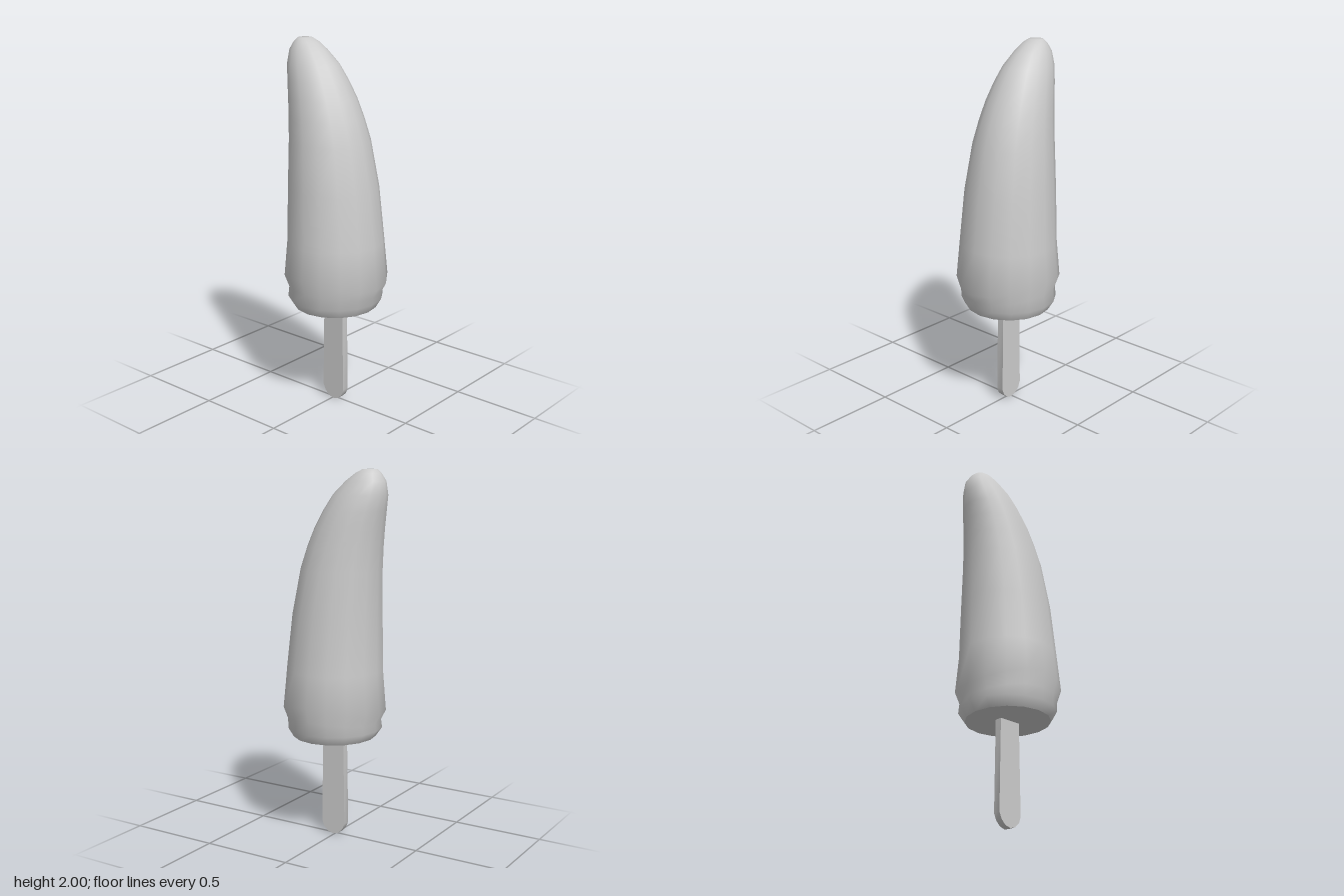
import * as THREE from 'three';
import { toCreasedNormals } from 'three/addons/utils/BufferGeometryUtils.js';

const SIDES = 16;

// Closed loft through elliptical rings: [y, xMin, xMax, zRadius, wave]
function loft(rings) {
  const pos = [], index = [];
  for (const [y, x0, x1, rz, wave = 0] of rings) {
    for (let i = 0; i < SIDES; i++) {
      const a = (i / SIDES) * Math.PI * 2;
      pos.push(
        (x0 + x1) / 2 + ((x1 - x0) / 2) * Math.cos(a),
        y - wave * Math.cos(2 * a),
        rz * Math.sin(a)
      );
    }
  }
  for (let r = 0; r < rings.length - 1; r++) {
    for (let i = 0; i < SIDES; i++) {
      const j = (i + 1) % SIDES;
      const a = r * SIDES + i, b = r * SIDES + j, c = a + SIDES, d = b + SIDES;
      index.push(a, c, b, b, c, d);
    }
  }
  // End caps
  const last = rings.length - 1;
  const bottom = pos.length / 3, top = bottom + 1;
  for (const [y, x0, x1] of [rings[0], rings[last]]) pos.push((x0 + x1) / 2, y, 0);
  for (let i = 0; i < SIDES; i++) {
    const j = (i + 1) % SIDES;
    index.push(bottom, i, j, top, last * SIDES + j, last * SIDES + i);
  }
  const geo = new THREE.BufferGeometry();
  geo.setAttribute('position', new THREE.Float32BufferAttribute(pos, 3));
  geo.setIndex(index);
  return toCreasedNormals(geo, 0.9);
}

export function createModel() {
  const group = new THREE.Group();
  const material = new THREE.MeshStandardMaterial({ color: 0xcccccc });

  // Ice body: beveled foot, wavy coating lip, then a taper curving to the tip
  const body = new THREE.Mesh(loft([
    [0.57, -0.215, 0.235, 0.23],
    [0.62, -0.25, 0.265, 0.26],
    [0.675, -0.243, 0.268, 0.258, 0.015],
    [0.74, -0.27, 0.293, 0.28, 0.032],
    [0.94, -0.252, 0.272, 0.262],
    [1.23, -0.25, 0.238, 0.243],
    [1.48, -0.252, 0.188, 0.213],
    [1.6, -0.26, 0.148, 0.192],
    [1.7, -0.27, 0.105, 0.173],
    [1.79, -0.283, 0.055, 0.15],
    [1.87, -0.295, 0.002, 0.124],
    [1.94, -0.288, -0.07, 0.09],
    [1.98, -0.262, -0.125, 0.064],
    [2.0, -0.24, -0.165, 0.04],
  ]), material);
  body.name = 'iceBody';
  group.add(body);

  // Flat stick with a rounded lower end
  const outline = [
    [-0.055, 0.65], [-0.065, 0.07], [-0.05, 0.035], [-0.025, 0.01], [0.008, 0],
    [0.042, 0.01], [0.068, 0.035], [0.08, 0.07], [0.07, 0.65],
  ].map(([x, y]) => new THREE.Vector2(x, y));
  const stickGeo = new THREE.ExtrudeGeometry(new THREE.Shape(outline), { depth: 0.04, bevelEnabled: false });
  stickGeo.translate(0, 0, -0.02);
  const stick = new THREE.Mesh(toCreasedNormals(stickGeo, 0.8), material);
  stick.name = 'stick';
  group.add(stick);

  return group;
}
